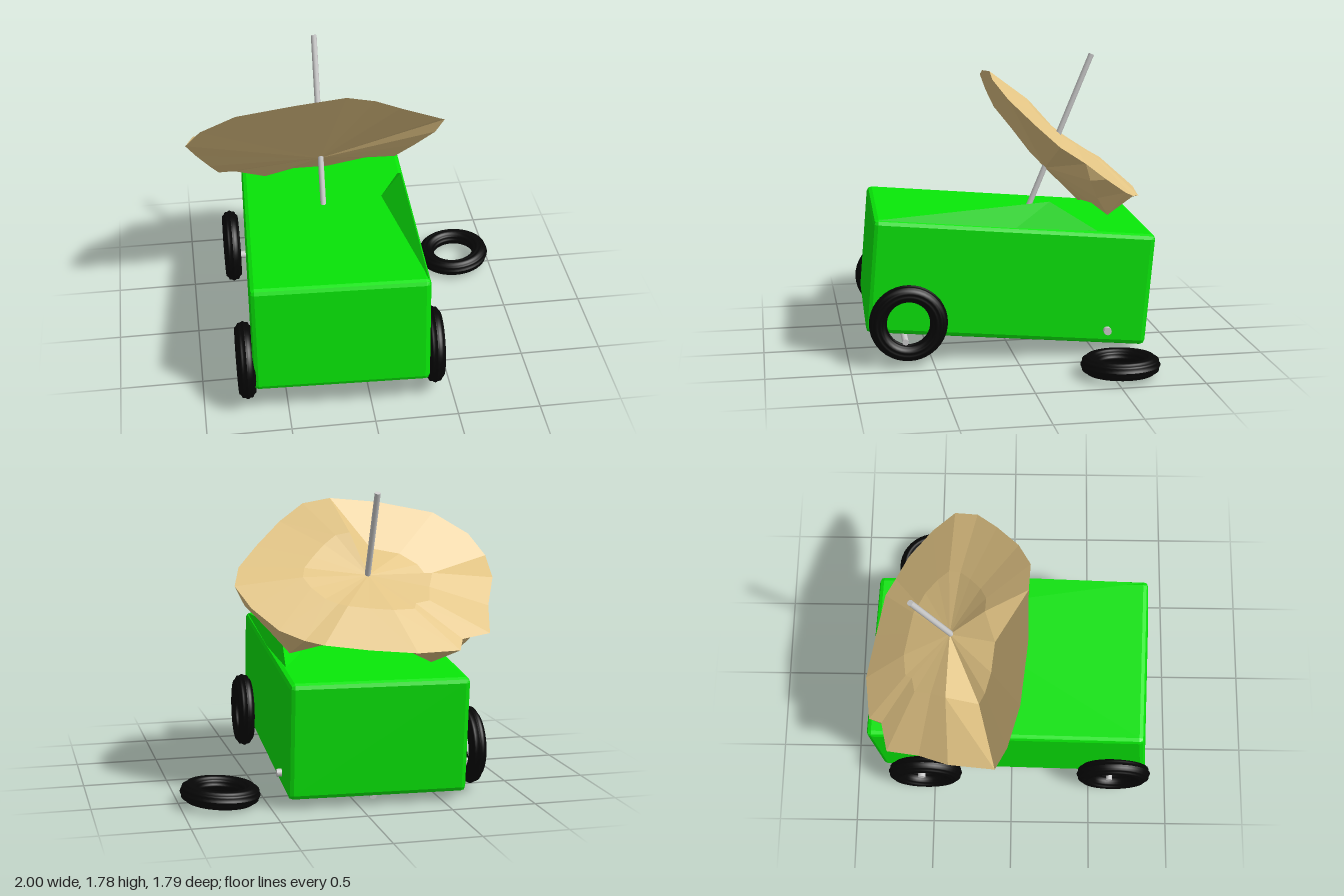
import * as THREE from 'three';
import { RoundedBoxGeometry } from 'three/addons/geometries/RoundedBoxGeometry.js';

const V = (x, y, z) => new THREE.Vector3(x, y, z);
const green = new THREE.MeshStandardMaterial({ color: 0x08e608, flatShading: true });
const grey = new THREE.MeshStandardMaterial({ color: 0xcccccc });
const rubber = new THREE.MeshStandardMaterial({ color: 0x060606 });
const cloth = new THREE.MeshStandardMaterial({ color: 0xe2c484, flatShading: true, side: THREE.DoubleSide });

function add(parent, name, geometry, material) {
  const mesh = new THREE.Mesh(geometry, material);
  mesh.name = name;
  parent.add(mesh);
  return mesh;
}

// Round bar between two points
function bar(parent, name, a, b, radius) {
  const mesh = add(parent, name, new THREE.CylinderGeometry(radius, radius, a.distanceTo(b), 12), grey);
  mesh.position.copy(a).lerp(b, 0.5);
  mesh.quaternion.setFromUnitVectors(V(0, 1, 0), b.clone().sub(a).normalize());
}

function facets(points) {
  const geometry = new THREE.BufferGeometry().setFromPoints(points);
  geometry.computeVertexNormals();
  return geometry;
}

// Tyre with ridges running around it, lying flat
function tyreGeometry() {
  const profile = [];
  for (let i = 0; i <= 40; i++) {
    const a = -(i / 40) * Math.PI * 2;
    const r = 0.05 + 0.003 * Math.cos(a * 10);
    profile.push(new THREE.Vector2(0.181 + r * Math.cos(a), -r * Math.sin(a)));
  }
  return new THREE.LatheGeometry(profile, 40);
}

// Collapsed canopy: a dented top and a sagging underside, joined by a crumpled rim
function canopyGeometry() {
  // Where the layers part, a second point gives the lower edge
  const rim = [
    [-0.05, 1.7, 0.09], [0.12, 1.67, 0.1], [0.28, 1.57, 0.03],
    [0.45, 1.44, -0.1], [0.58, 1.33, -0.22], [0.63, 1.24, -0.36],
    [0.56, 1.13, -0.5, 0.58, 1.13, -0.4], [0.43, 1.02, -0.65, 0.46, 1.0, -0.47],
    [0.3, 0.97, -0.73, 0.35, 0.87, -0.56], [0.2, 0.95, -0.79, 0.15, 0.9, -0.52],
    [-0.05, 0.92, -0.84, -0.1, 0.87, -0.5], [-0.32, 0.9, -0.89, -0.32, 0.87, -0.5],
    [-0.58, 0.9, -0.86, -0.5, 0.78, -0.57], [-0.62, 0.95, -0.78, -0.7, 0.86, -0.53],
    [-0.8, 0.97, -0.74, -0.8, 0.91, -0.45], [-0.86, 1.1, -0.54, -0.86, 1.05, -0.31],
    [-0.95, 1.24, -0.36, -0.94, 1.2, -0.2],
    [-1, 1.34, -0.09], [-0.91, 1.47, -0.02], [-0.7, 1.6, 0.05], [-0.35, 1.67, 0.09],
  ];
  const apex = V(-0.17, 1.28, -0.37);
  const pit = V(-0.17, 1.07, -0.28);
  const bulge = V(0, 0.023, -0.019), dent = V(0, -0.07, 0.04);
  const upper = rim.map(([x, y, z]) => V(x, y, z));
  const lower = rim.map((p) => V(...p.slice(-3)));
  const dome = upper.map((p, i) => apex.clone().lerp(p, 0.5).add(i > 16 ? dent : bulge));
  const points = [];
  for (let i = 0; i < rim.length; i++) {
    const j = (i + 1) % rim.length;
    points.push(apex, dome[i], dome[j]);
    points.push(dome[i], upper[i], upper[j], dome[i], upper[j], dome[j]);
    points.push(upper[i], lower[i], lower[j], upper[i], lower[j], upper[j]);
    points.push(pit, lower[j], lower[i]);
  }
  return facets(points);
}

export function createModel() {
  const model = new THREE.Group();
  model.name = 'brokenCart';

  // Cart body, sunk at the back
  const body = add(model, 'cartBody', new RoundedBoxGeometry(1.05, 0.69, 1.7, 1, 0.03), green);
  body.position.set(-0.148, 0.472, 0.003);
  body.rotation.set(-0.085, -0.04, 0);

  // Bent-up ridge along one edge of the top
  const front = V(0.33, 0.885, 0.82), peak = V(0.33, 0.96, -0.21);
  const middle = V(0.37, 0.815, 0), back = V(0.36, 0.775, -0.5), inner = V(0.2, 0.79, -0.21);
  add(model, 'bentTopPanel', facets([
    front, middle, peak, middle, back, peak, front, peak, inner, peak, back, inner,
  ]), green);

  // Axles and the bar beneath the body
  bar(model, 'frontAxle', V(-0.75, 0.155, 0.63), V(0.41, 0.155, 0.67), 0.019);
  bar(model, 'rearAxle', V(-0.75, 0.165, -0.58), V(0.43, 0.165, -0.555), 0.024);
  bar(model, 'underBar', V(-0.185, 0.165, 0.72), V(-0.1, 0.045, -0.75), 0.021);

  // Three mounted wheels and one lying on the ground
  const tyre = tyreGeometry();
  const wheels = [
    ['frontLeftWheel', 0.4, 0.27, 0.65], ['frontRightWheel', -0.74, 0.27, 0.65],
    ['rearRightWheel', -0.74, 0.265, -0.55],
  ];
  for (const [name, x, y, z] of wheels) {
    const wheel = add(model, name, tyre, rubber);
    wheel.position.set(x, y, z);
    wheel.rotation.set(0, x > 0 ? -0.04 : 0, Math.PI / 2);
  }
  const loose = add(model, 'looseWheel', tyre, rubber);
  loose.position.set(0.762, 0.07, -0.55);
  loose.rotation.z = 0.07;

  // Parasol
  bar(model, 'parasolPole', V(-0.167, 0.72, -0.13), V(-0.167, 1.78, -0.57), 0.018);
  add(model, 'parasolCanopy', canopyGeometry(), cloth);

  return model;
}
